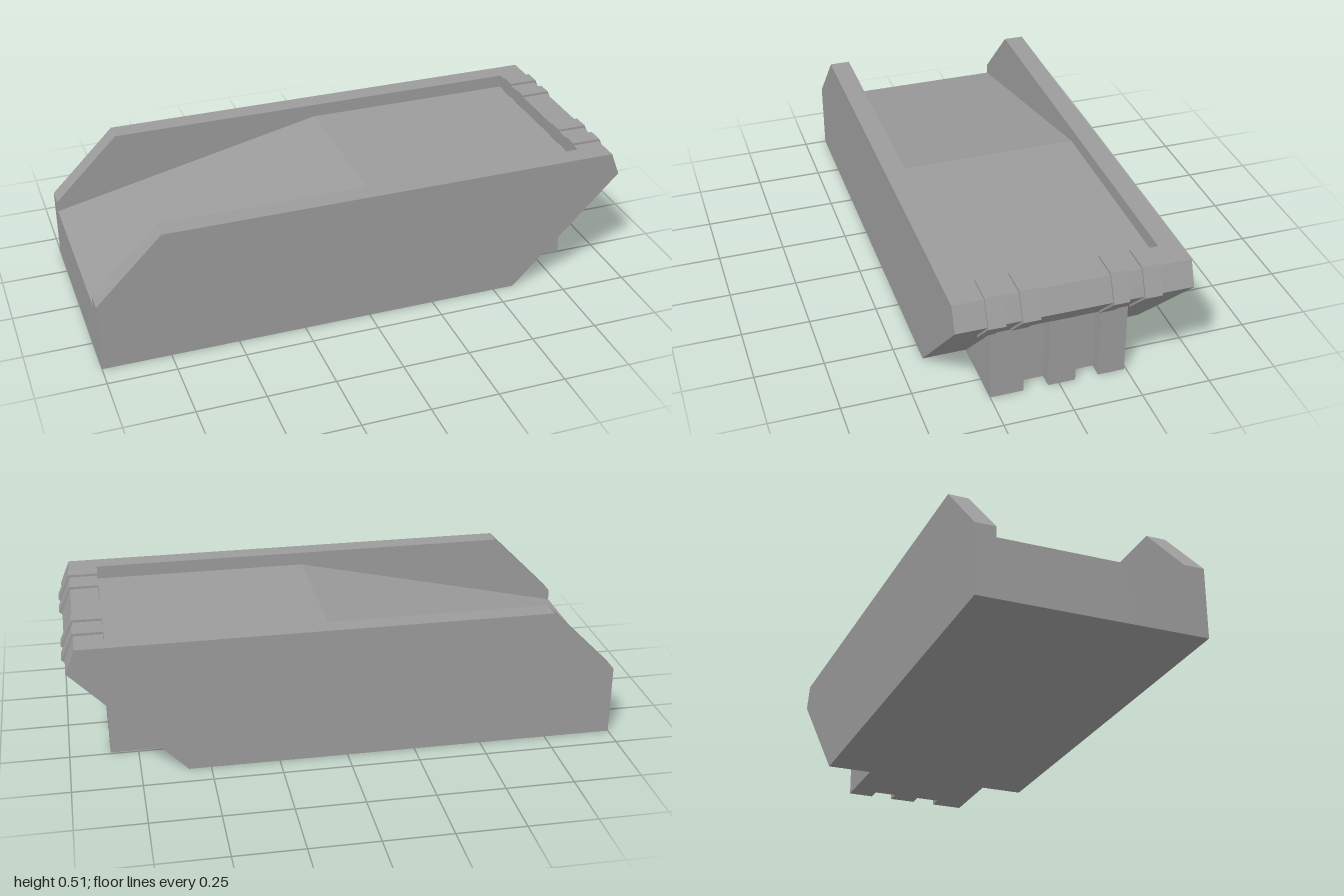
import * as THREE from 'three';

const material = new THREE.MeshStandardMaterial({ color: 0x9c9c9c, flatShading: true });

// Extrudes an x-y outline from z0 to z1.
function slab(name, points, z0, z1) {
  const shape = new THREE.Shape(points.map(([x, y]) => new THREE.Vector2(x, y)));
  const geometry = new THREE.ExtrudeGeometry(shape, { depth: z1 - z0, bevelEnabled: false });
  geometry.translate(0, 0, z0);
  const mesh = new THREE.Mesh(geometry, material);
  mesh.name = name;
  return mesh;
}

export function createModel() {
  const model = new THREE.Group();
  model.name = 'rampTray';

  // Nose and sloped underside shared by the walls and the core
  const nose = [[0.953, 0.503], [0.988, 0.415]];
  const slopeFoot = [0.58, 0];

  // Side walls
  const wall = [[-1, 0], [-1, 0.26], [-0.757, 0.503], ...nose, slopeFoot];
  model.add(slab('leftWall', wall, 0.338, 0.413));
  model.add(slab('rightWall', wall, -0.413, -0.338));

  // Core: ramp, level floor and raised end lip, with two slots cut into the slope
  const deck = [[-1, 0], [-1, 0.22], [0.04, 0.453], [0.85, 0.453], [0.85, 0.503], ...nose];
  const plain = [...deck, slopeFoot];
  const slotted = [...deck, [0.855, 0.28], [0.8, 0.28], [0.8, 0]];
  const cuts = [-0.338, -0.145, -0.06, 0.04, 0.13, 0.338];
  for (let i = 0; i < 5; i++) {
    model.add(slab('rampFloor', i % 2 ? slotted : plain, cuts[i], cuts[i + 1]));
  }

  // Four clamps wrapped over the end lip
  const clamp = [[0.847, 0.45], [0.847, 0.512], [0.957, 0.512], [1, 0.415], [0.88, 0.295], [0.865, 0.31]];
  for (const [z0, z1] of [[0.245, 0.305], [0.127, 0.188], [-0.18, -0.125], [-0.296, -0.235]]) {
    model.add(slab('lipClamp', clamp, z0, z1));
  }

  // Three support ribs under the slope
  const rib = [slopeFoot, [0.852, 0], [0.852, 0.28]];
  for (const [z0, z1] of [[0.13, 0.25], [-0.06, 0.04], [-0.242, -0.145]]) {
    model.add(slab('supportRib', rib, z0, z1));
  }

  return model;
}
